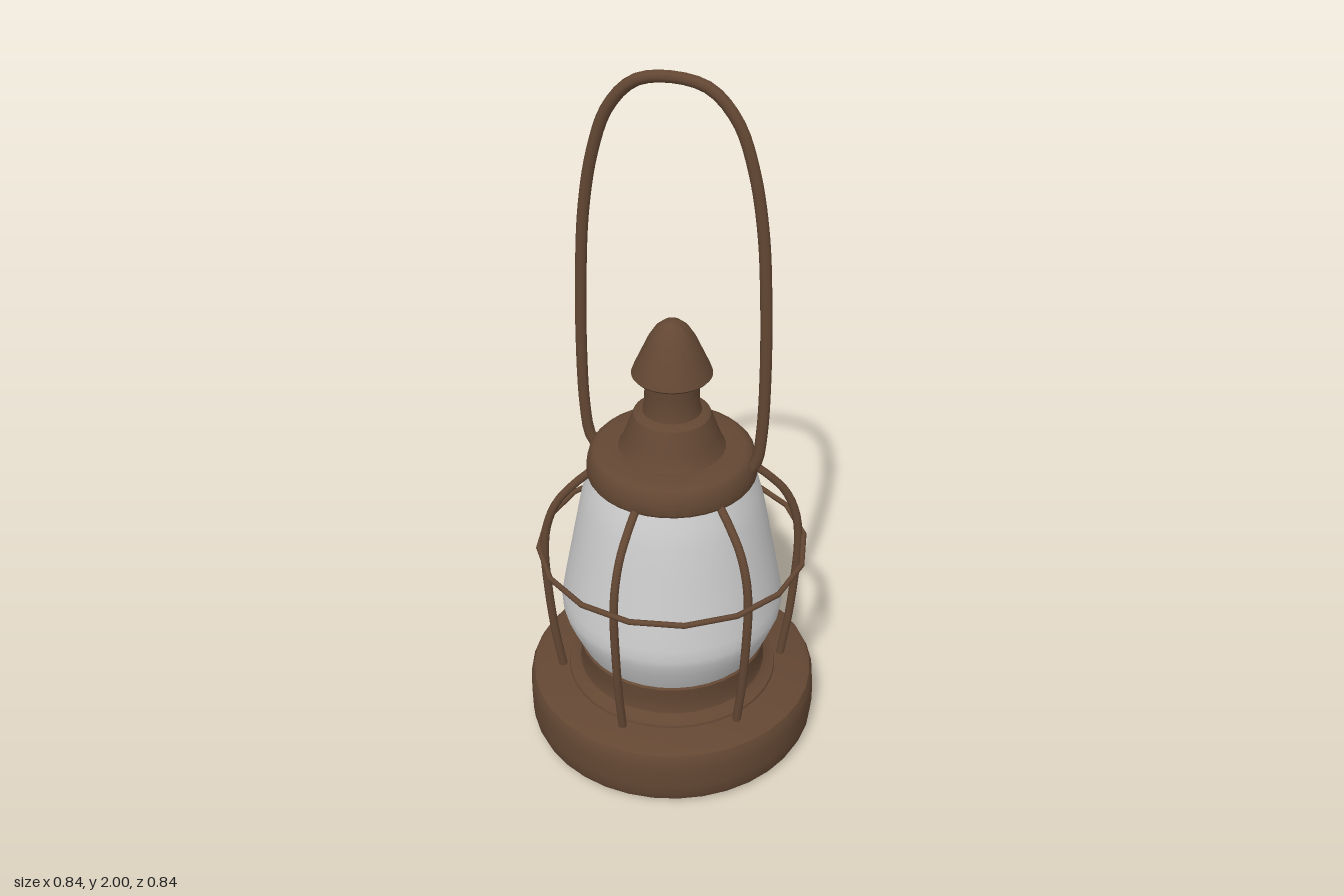
import * as THREE from 'three';
import { toCreasedNormals } from 'three/addons/utils/BufferGeometryUtils.js';

export function createModel() {
  const lantern = new THREE.Group();
  lantern.name = 'lantern';
  const metal = new THREE.MeshStandardMaterial({ color: 0x634733 });
  const glass = new THREE.MeshStandardMaterial({ color: 0xcccccc, side: THREE.DoubleSide });

  const add = (name, geometry, material = metal, parent = lantern) => {
    const mesh = new THREE.Mesh(geometry, material);
    mesh.name = name;
    parent.add(mesh);
    return mesh;
  };
  // Turned part from [radius, height] pairs, listed bottom to top
  const turned = (name, profile, material) => {
    const points = profile.map(([r, y]) => new THREE.Vector2(r, y));
    add(name, toCreasedNormals(new THREE.LatheGeometry(points, 36), 0.6), material);
  };
  const wire = (points, segments, radius) => {
    const curve = new THREE.CatmullRomCurve3(points.map(([x, y]) => new THREE.Vector3(x, y, 0)));
    return new THREE.TubeGeometry(curve, segments, radius, 8);
  };

  // Heavy round foot
  turned('base', [
    [0, 0], [0.12, 0.002], [0.13, 0.01], [0.39, 0.01], [0.408, 0.016], [0.416, 0.035], [0.419, 0.07],
    [0.419, 0.125], [0.416, 0.16], [0.408, 0.177], [0.39, 0.185], [0, 0.185],
  ]);
  // Collar holding the glass
  turned('collar', [
    [0.305, 0.18], [0.302, 0.192], [0.285, 0.197], [0.27, 0.21], [0.265, 0.23],
    [0.268, 0.27], [0.27, 0.295], [0.262, 0.302], [0, 0.302],
  ]);
  turned('glassChimney', [
    [0.262, 0.295], [0.275, 0.32], [0.297, 0.37], [0.312, 0.41], [0.316, 0.435], [0.312, 0.47],
    [0.295, 0.56], [0.272, 0.68], [0.255, 0.77], [0.242, 0.82], [0.225, 0.865],
  ], glass);
  // Cap, flared vent and neck
  turned('cap', [
    [0, 0.86], [0.23, 0.86], [0.235, 0.868], [0.234, 0.895], [0.226, 0.925], [0.215, 0.938],
    [0.2, 0.943], [0.147, 0.943], [0.142, 0.95], [0.128, 0.985], [0.112, 1.03],
    [0.105, 1.047], [0.095, 1.053], [0.08, 1.057], [0.075, 1.08], [0.074, 1.12], [0.079, 1.17],
  ]);
  turned('finial', [
    [0, 1.165], [0.104, 1.165], [0.109, 1.171], [0.102, 1.19], [0.083, 1.232], [0.064, 1.274],
    [0.045, 1.304], [0.024, 1.322], [0, 1.328],
  ]);

  // Cage of six bent ribs
  const cage = new THREE.Group();
  cage.name = 'cage';
  lantern.add(cage);
  const rib = wire([
    [0.322, 0.18], [0.342, 0.32], [0.355, 0.47], [0.36, 0.6], [0.35, 0.69],
    [0.318, 0.77], [0.265, 0.83], [0.215, 0.872],
  ], 28, 0.012);
  for (let i = 0; i < 6; i++) {
    add('cageRib', rib, metal, cage).rotation.y = THREE.MathUtils.degToRad(22 + i * 60);
  }
  // Faceted hoop around the ribs
  add('cageHoop', new THREE.TorusGeometry(0.376, 0.008, 8, 16).rotateX(Math.PI / 2), metal, cage).position.y = 0.616;

  // Tall bail handle, mirrored about the centre
  const side = [
    [0.222, 0.905], [0.238, 0.935], [0.25, 1.03], [0.254, 1.2], [0.249, 1.42], [0.236, 1.61],
    [0.208, 1.77], [0.165, 1.89], [0.095, 1.965],
  ];
  const mirrored = side.map(([x, y]) => [-x, y]).reverse();
  const handle = new THREE.Group();
  handle.name = 'handle';
  lantern.add(handle);
  add('bail', wire([...side, [0, 1.984], ...mirrored], 80, 0.016), metal, handle);
  for (const s of [-1, 1]) {
    add('bailEnd', new THREE.SphereGeometry(0.016, 10, 8), metal, handle).position.set(s * 0.222, 0.905, 0);
  }
  return lantern;
}
